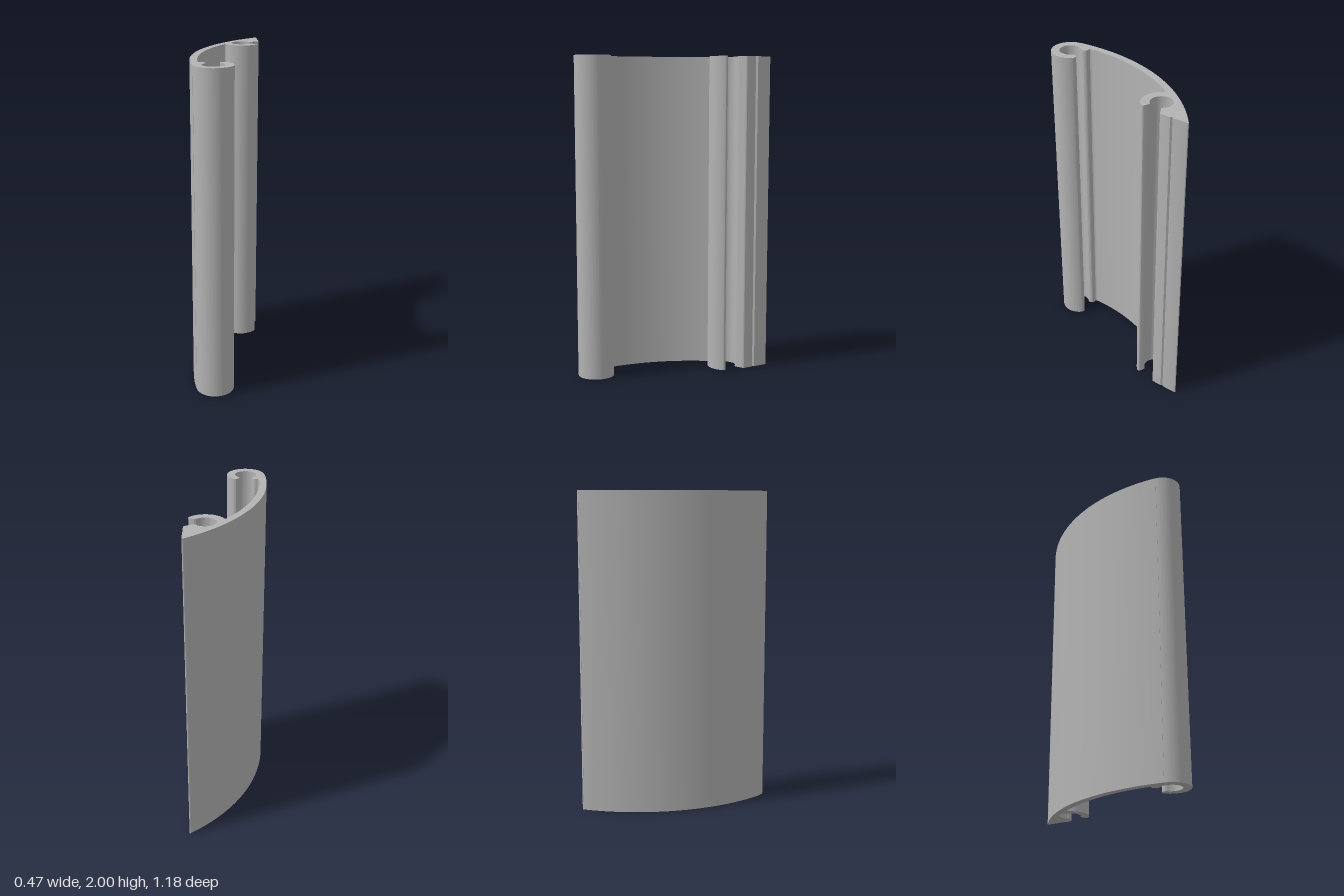
import * as THREE from 'three';
import { toCreasedNormals } from 'three/addons/utils/BufferGeometryUtils.js';

const HEIGHT = 2;
const rad = THREE.MathUtils.degToRad;

// Centres in the profile plane (x, -z)
const bow = { x: 0.91, y: -0.33 };          // curved wall
const frontRing = { x: -0.11, y: -0.47 };   // screw channel at the front edge
const backRing = { x: 0.119, y: 0.35 };     // screw channel near the back edge

function createProfile() {
  const s = new THREE.Shape();
  const arc = (c, r, from, to, clockwise = false) =>
    s.absarc(c.x, c.y, r, rad(from), rad(to), clockwise);
  const along = (c, r, deg) => ({ x: c.x + r * Math.cos(rad(deg)), y: c.y + r * Math.sin(rad(deg)) });

  // Outer face of the wall, running tangentially into the front channel
  s.moveTo(0.222, 0.59);
  arc(bow, 1.147, 126.8, 187.8);
  arc(frontRing, 0.116, 187.8, 405);

  // Front channel: rounded lip, bore, rounded lip
  arc(along(frontRing, 0.091, 45), 0.025, 45, 225);
  arc(frontRing, 0.066, 45, 135, true);
  arc(along(frontRing, 0.091, 135), 0.025, 315, 466);
  s.quadraticCurveTo(-0.19, -0.382, -0.191, -0.365);

  // Inner face of the wall and the fillet to the back channel
  arc(bow, 1.103, 182, 145.4, true);
  s.quadraticCurveTo(0.01, 0.306, 0.0167, 0.2933);

  // Back channel: outside, lip, bore, lip
  arc(backRing, 0.117, 209, 322);
  s.quadraticCurveTo(0.217, 0.289, 0.208, 0.295);
  s.lineTo(0.185, 0.306);
  s.quadraticCurveTo(0.172, 0.312, 0.1623, 0.3002);
  arc(backRing, 0.066, 311, 49, true);
  s.quadraticCurveTo(0.172, 0.384, 0.188, 0.391);
  s.lineTo(0.229, 0.413);
  s.quadraticCurveTo(0.235, 0.416, 0.235, 0.423);

  // Flat edge with a small V groove, then the rounded tip
  s.lineTo(0.235, 0.481);
  s.lineTo(0.225, 0.49);
  s.lineTo(0.235, 0.499);
  s.lineTo(0.235, 0.583);
  s.quadraticCurveTo(0.234, 0.598, 0.222, 0.59);
  return s;
}

export function createModel() {
  const model = new THREE.Group();
  model.name = 'extrudedTrim';

  const aluminium = new THREE.MeshStandardMaterial({ color: 0xb3b3b3 });
  aluminium.name = 'aluminium grey';

  // Constant section drawn straight up from the ground
  const extrusion = new THREE.ExtrudeGeometry(createProfile(), {
    depth: HEIGHT, bevelEnabled: false, curveSegments: 32,
  });
  extrusion.rotateX(-Math.PI / 2);

  const trim = new THREE.Mesh(toCreasedNormals(extrusion, 0.5), aluminium);
  trim.name = 'curvedWallWithChannels';
  model.add(trim);
  return model;
}
